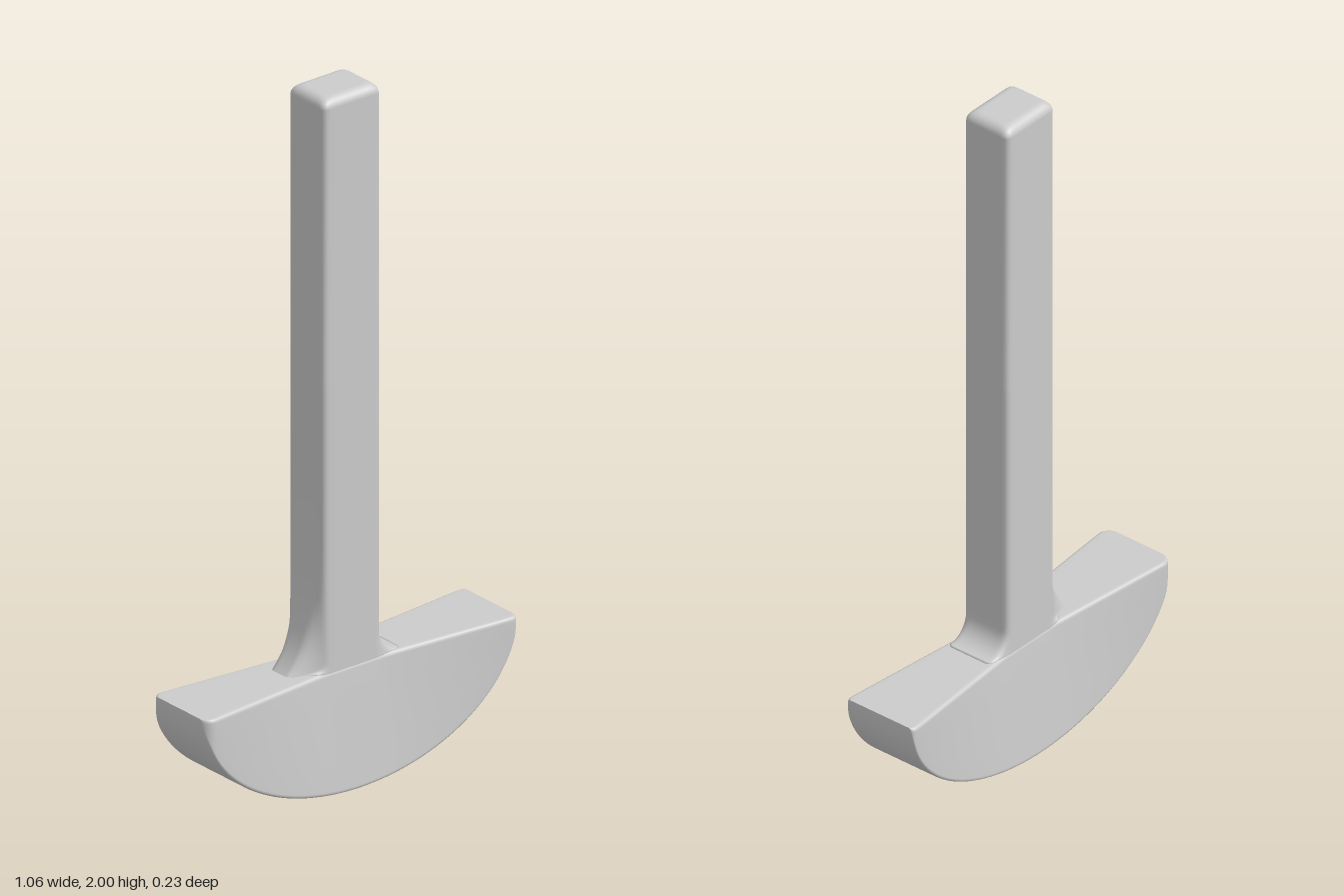
import * as THREE from 'three';

const HEAD_TOP = 0.345, HALF_LENGTH = 0.528, HALF_DEPTH = 0.115;
const material = new THREE.MeshStandardMaterial({ color: 0xcccccc });

// Closed 2D loop through the corners, rounded by r, with subdivided edges
function roundedLoop(corners, r, edgeSteps, cornerSteps = 4) {
  const pts = [], n = corners.length;
  const toward = (a, b) => a.clone().add(b.clone().sub(a).setLength(r));
  for (let k = 0; k < n; k++) {
    const prev = corners[(k + n - 1) % n], c = corners[k], next = corners[(k + 1) % n];
    const arc = new THREE.QuadraticBezierCurve(toward(c, prev), c, toward(c, next));
    pts.push(...arc.getPoints(cornerSteps));
    const start = toward(c, next), end = toward(next, c);
    for (let s = 1; s < edgeSteps; s++) pts.push(start.clone().lerp(end, s / edgeSteps));
  }
  return pts;
}

// Skin over a row of rings, with flat caps at both ends
function loft(rings) {
  const n = rings[0].length, pos = [], index = [];
  rings.forEach(ring => ring.forEach(p => pos.push(p.x, p.y, p.z)));
  for (let i = 0; i < rings.length - 1; i++) {
    for (let j = 0; j < n; j++) {
      const a = i * n + j, b = i * n + (j + 1) % n;
      index.push(a, b, b + n, a, b + n, a + n);
    }
  }
  [rings[0], rings[rings.length - 1]].forEach((ring, last) => {
    const base = pos.length / 3, mid = new THREE.Vector3();
    ring.forEach(p => { mid.addScaledVector(p, 1 / n); pos.push(p.x, p.y, p.z); });
    pos.push(mid.x, mid.y, mid.z);
    for (let j = 0; j < n; j++) {
      const a = base + j, b = base + (j + 1) % n;
      index.push(...(last ? [a, b, base + n] : [b, a, base + n]));
    }
  });
  const g = new THREE.BufferGeometry();
  g.setAttribute('position', new THREE.Float32BufferAttribute(pos, 3));
  g.setIndex(index);
  g.computeVertexNormals();
  return g;
}

// Half-ellipse blade: narrow along the middle of its top, full depth along the rim
function headGeometry() {
  const rings = [], steps = 64;
  for (let i = 0; i <= steps; i++) {
    const angle = (i / steps - 0.5) * Math.PI;
    const x = HALF_LENGTH * Math.sin(angle);
    const height = Math.max(0.006, HEAD_TOP * Math.cos(angle));
    const spread = THREE.MathUtils.clamp((Math.abs(x) - 0.1) / 0.4, 0, 1);
    // Softened corners at the tips, more on the right-hand one
    const tipR = x < 0 ? 0.03 : 0.012;
    const into = Math.max(0, Math.abs(x) - (HALF_LENGTH - tipR));
    const inset = tipR - Math.sqrt(Math.max(0, tipR * tipR - into * into));
    const top = 0.077 + (HALF_DEPTH - 0.077) * spread - inset;
    const rim = HALF_DEPTH - inset;
    const low = HEAD_TOP - height;
    const corners = [[-top, HEAD_TOP], [top, HEAD_TOP], [rim, low], [-rim, low]]
      .map(c => new THREE.Vector2(...c));
    rings.push(roundedLoop(corners, Math.min(0.012, height * 0.4), 4)
      .map(p => new THREE.Vector3(x, p.y, p.x)));
  }
  return loft(rings);
}

// Concave quarter-round flare at the foot of the handle
function fillet(y, r) {
  const d = Math.max(0, r - Math.max(0, y - HEAD_TOP));
  return r - Math.sqrt(r * r - d * d);
}

// Square bar with a rounded top and flared foot
function handleGeometry() {
  const rings = [], topR = 0.028;
  const addRing = (y, inset) => {
    const hx = 0.097 - inset, hz = 0.076 - inset;
    const corners = [[hx, hz], [hx, -hz], [-hx, -hz], [-hx, hz]].map(c => new THREE.Vector2(...c));
    rings.push(roundedLoop(corners, 0.02, 10).map(p => {
      let x = p.x;
      if (y < 1.2) {
        const side = THREE.MathUtils.smoothstep(Math.abs(x), 0.075, 0.095);
        if (x > 0) x += side * fillet(y, 0.07);
        else {
          // Tall buttress in the middle of the right-hand side
          const ridge = 1 - THREE.MathUtils.smoothstep(Math.abs(p.y), 0.03, 0.075);
          const rise = 0.09 * Math.exp(-Math.max(0, y - HEAD_TOP) / 0.09);
          x -= side * Math.max(fillet(y, 0.03), ridge * rise);
        }
      }
      return new THREE.Vector3(x, y, p.y);
    }));
  };
  addRing(0.3, 0);
  for (let i = 0; i <= 40; i++) addRing(HEAD_TOP + 0.85 * (i / 40) ** 2, 0);
  for (let i = 0; i <= 8; i++) {
    const a = (i / 8) * Math.PI / 2;
    addRing(2 - topR + topR * Math.sin(a), topR * (1 - Math.cos(a)));
  }
  return loft(rings);
}

export function createModel() {
  const model = new THREE.Group();
  model.name = 'rockerTool';
  const add = (name, geometry) => {
    const mesh = new THREE.Mesh(geometry, material);
    mesh.name = name;
    model.add(mesh);
  };
  add('head', headGeometry());
  add('handle', handleGeometry());
  return model;
}
